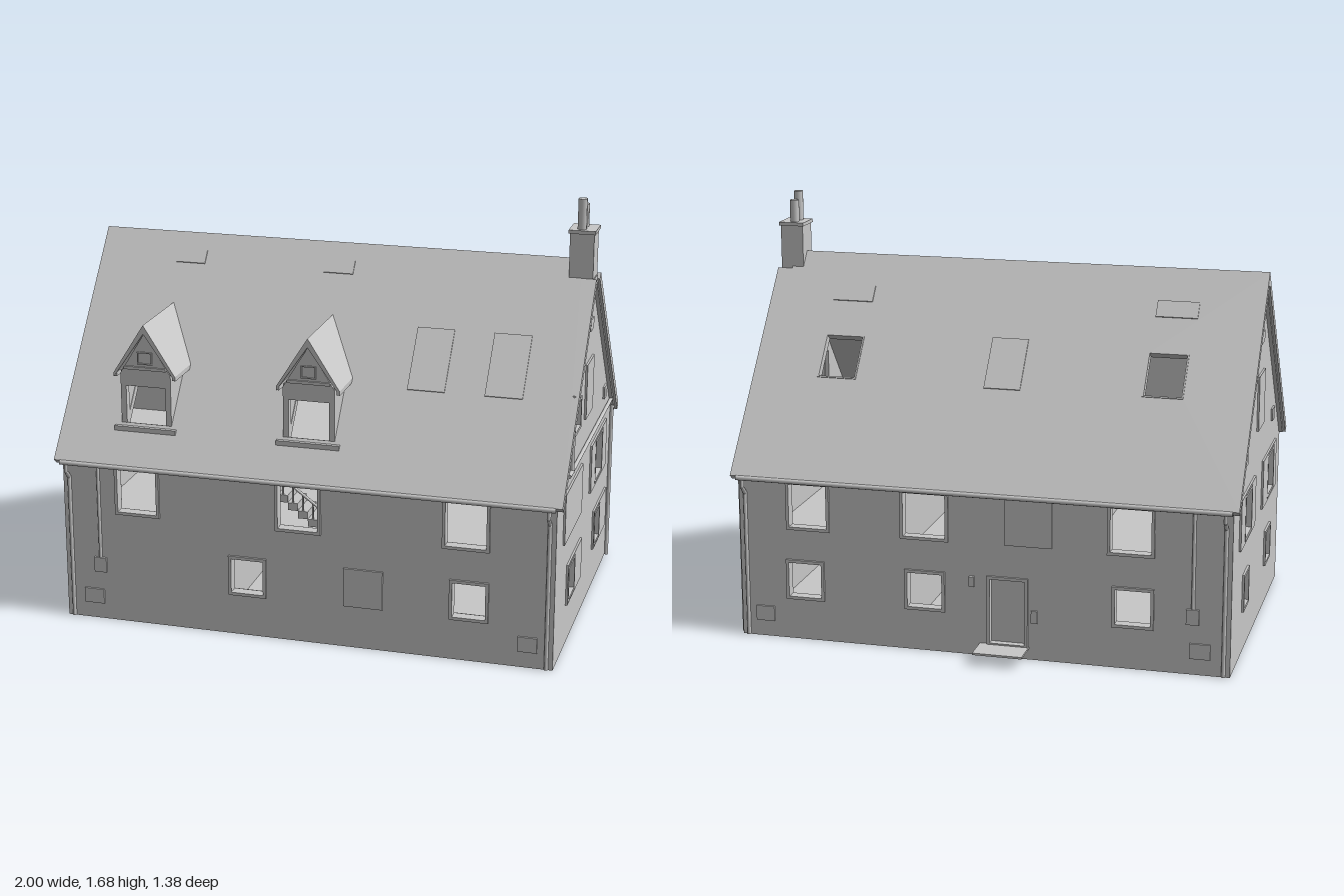
import * as THREE from 'three';

const plaster = new THREE.MeshStandardMaterial({ color: 0xc8c8c8 });
plaster.name = 'plain grey';

const EAVE = 0.66, RIDGE = 1.44, RIDGE_Z = 0.035, RUN = 0.645;
const RISE = RIDGE - EAVE, SLOPE = Math.hypot(RUN, RISE);
const roofZ = y => RIDGE_Z + (RIDGE - y) * RUN / RISE; // front slope depth at a height

function add(parent, name, geo, x = 0, y = 0, z = 0) {
  const m = new THREE.Mesh(geo, plaster);
  m.name = name;
  m.position.set(x, y, z);
  parent.add(m);
  return m;
}
// box given by its limits
function box(parent, name, x0, x1, y0, y1, z0, z1) {
  return add(parent, name, new THREE.BoxGeometry(x1 - x0, y1 - y0, z1 - z0),
    (x0 + x1) / 2, (y0 + y1) / 2, (z0 + z1) / 2);
}
const rect = ([a, b, c, d]) => [[a, c], [b, c], [b, d], [a, d]];
const vecs = pts => pts.map(p => new THREE.Vector2(...p));
// extruded outline with rectangular holes, from z0 to z1
function plate(outline, holes, z0, z1) {
  const s = new THREE.Shape(vecs(outline));
  holes.forEach(h => s.holes.push(new THREE.Path(vecs(rect(h)))));
  return new THREE.ExtrudeGeometry(s, { depth: z1 - z0, bevelEnabled: false }).translate(0, 0, z0);
}
// ring straddling the edge of an opening
function frame(parent, name, [a, b, c, d], z0, z1, out = 0.006, w = 0.006) {
  add(parent, name, plate(rect([a - out, b + out, c - out, d + out]), [[a + w, b - w, c + w, d - w]], z0, z1));
}
// run of straight round pipe pieces
function pipe(parent, name, pts, r = 0.008) {
  for (let i = 1; i < pts.length; i++) {
    const a = new THREE.Vector3(...pts[i - 1]), b = new THREE.Vector3(...pts[i]);
    const m = add(parent, name, new THREE.CylinderGeometry(r, r, a.distanceTo(b) + r, 8));
    m.position.copy(a).lerp(b, 0.5);
    m.quaternion.setFromUnitVectors(new THREE.Vector3(0, 1, 0), b.sub(a).normalize());
  }
}
// one outer wall: u runs to the right as seen from outside
function wall(parent, name, rot, pos, halfSkirt, outline, windows, panels) {
  const g = new THREE.Group();
  g.name = name;
  g.rotation.y = rot;
  g.position.set(...pos);
  parent.add(g);
  add(g, name + 'Shell', plate(outline, windows, -0.05, 0));
  box(g, 'skirt', ...halfSkirt, 0, 0.032, -0.012, 0);
  windows.forEach(w => frame(g, 'windowFrame', w, -0.035, 0.009));
  panels.forEach(p => {
    const inside = windows.filter(w => w[0] > p[0] && w[1] < p[1] && w[2] > p[2] && w[3] < p[3]);
    add(g, 'wallPanel', plate(rect(p), inside, -0.002, 0.008));
  });
  return g;
}

// roof slope in its own plane: x across, y measured as height above the ground
function roofSlope(parent, name, back, holes, panels, vents) {
  const v = y => (y - EAVE) * SLOPE / RISE;
  const flat = ([a, b, c, d]) => [a, b, v(c), v(d)];
  const pivot = new THREE.Group();
  pivot.name = name;
  pivot.position.z = RIDGE_Z;
  pivot.rotation.y = back ? Math.PI : 0;
  const g = new THREE.Group();
  g.position.set(0, EAVE, RUN);
  g.rotation.x = -Math.atan2(RUN, RISE);
  pivot.add(g);
  parent.add(pivot);
  // notch at the chimney, and a mitred ridge
  const m = back ? -1 : 1, cut = v(1.375);
  const outline = [[-1, 0], [1, 0], [1, cut], [0.94, cut], [0.94, SLOPE], [-1, SLOPE]].map(([x, y]) => [m * x, y]);
  const slab = plate(outline, holes.map(flat), -0.03, 0);
  const p = slab.attributes.position;
  for (let i = 0; i < p.count; i++)
    if (p.getY(i) > SLOPE - 0.001 && p.getZ(i) < -0.02) p.setY(i, SLOPE - 0.03 * RISE / RUN);
  slab.computeVertexNormals();
  add(g, 'roofSlab', slab);
  panels.forEach(q => add(g, 'roofPanel', plate(rect(flat(q)), [], -0.001, 0.005)));
  vents.forEach(q => add(g, 'roofVent', plate(rect(flat(q)), [], -0.001, 0.005)));
  if (back) holes.forEach(h => frame(g, 'skylightFrame', flat(h), -0.03, 0.004, 0.002, 0.004));
}

function dormer(parent, cx) {
  const g = new THREE.Group();
  g.name = 'dormer';
  g.position.x = cx;
  parent.add(g);
  const win = [-0.08, 0.08, 0.79, 0.95];
  add(g, 'dormerFront', plate([[-0.102, 0.77], [0.102, 0.77], [0.102, 1.0], [0, 1.165], [-0.102, 1.0]], [win], 0.535, 0.565));
  frame(g, 'gableVent', [-0.03, 0.03, 1.04, 1.09], 0.555, 0.57, 0, 0.005);
  box(g, 'dormerSill', -0.125, 0.125, 0.768, 0.79, 0.54, 0.588);
  box(g, 'gableTie', -0.085, 0.085, 1.018, 1.03, 0.555, 0.572);
  for (const s of [-1, 1]) {
    // cheek wall running back into the roof
    const cheek = plate([[-0.56, 0.77], [-0.38, 1.01], [-0.56, 1.01]], [], -0.01, 0.01);
    add(g, 'dormerCheek', cheek.rotateY(Math.PI / 2), s * 0.092);
    const xs = [s * 0.113, s * 0.125].sort((a, b) => a - b);
    box(g, 'dormerFascia', ...xs, 0.987, 1.002, 0.4, 0.575);
    // roof leaf, its rear end cut to the main slope
    const pts = [[0, 1.2], [0, 1.165], [s * 0.125, 0.985], [s * 0.125, 1.003]];
    const leaf = plate(pts, [], 0, 0.577);
    const p = leaf.attributes.position;
    for (let i = 0; i < p.count; i++) if (p.getZ(i) < 0.1) p.setZ(i, roofZ(p.getY(i)) - 0.012);
    leaf.computeVertexNormals();
    add(g, 'dormerRoof', leaf);
  }
}

export function createModel() {
  const house = new THREE.Group();
  house.name = 'house';
  const UP = [0.455, 0.64], LOW = [0.17, 0.32], FOOT = [0.065, 0.125];

  // long walls
  const long = rect([-0.925, 0.925, 0.03, 0.65]), longSkirt = [-0.963, 0.963];
  wall(house, 'frontWall', 0, [0, 0, 0.65], longSkirt, long,
    [[-0.755, -0.585, ...UP], [-0.105, 0.065, ...UP], [0.55, 0.72, ...UP], [-0.295, -0.155, ...LOW], [0.58, 0.72, ...LOW]],
    [[0.16, 0.315, 0.17, 0.325], [-0.9, -0.82, ...FOOT], [0.84, 0.915, ...FOOT]]);
  const back = wall(house, 'backWall', Math.PI, [0, 0, -0.58], longSkirt, long,
    [[-0.775, -0.61, ...UP], [-0.31, -0.13, ...UP], [0.505, 0.675, ...UP],
      [-0.78, -0.635, ...LOW], [-0.295, -0.145, ...LOW], [0.525, 0.675, ...LOW], [0.035, 0.185, 0.05, 0.32]],
    [[0.1, 0.285, ...UP], [-0.915, -0.84, ...FOOT], [0.82, 0.9, ...FOOT]]);
  box(back, 'door', 0.035, 0.185, 0.05, 0.315, -0.035, -0.02);
  box(back, 'doorStep', 0, 0.195, 0.042, 0.05, -0.01, 0.115);
  box(back, 'doorLamp', -0.04, -0.02, 0.28, 0.32, 0, 0.015);
  box(back, 'letterBox', 0.205, 0.23, 0.15, 0.2, 0, 0.01);

  // gable walls; u is -z on the +x side and z on the other
  const gable = m => [[-0.65, 0.03], [0.58, 0.03], [0.58, 0.65], [-0.018, 1.372], [-0.052, 1.372], [-0.65, 0.65]]
    .map(([u, y]) => [m * u, y]);
  wall(house, 'leftGable', Math.PI / 2, [0.975, 0, 0], [-0.65, 0.58], gable(1),
    [[0.165, 0.325, 0.465, 0.635], [-0.395, -0.265, 0.178, 0.315], [0.195, 0.315, 0.178, 0.315], [-0.355, -0.235, 0.835, 0.95]],
    [[-0.51, -0.14, 0.45, 0.65], [0.065, 0.43, 0.45, 0.65], [-0.41, -0.11, 0.165, 0.33], [0.18, 0.48, 0.165, 0.33],
      [-0.115, 0.04, 0.82, 1.04], [-0.48, -0.42, 0.76, 0.81], [0.34, 0.4, 0.76, 0.81], [-0.07, 0, 1.16, 1.205]]);
  wall(house, 'rightGable', -Math.PI / 2, [-0.975, 0, 0], [-0.58, 0.65], gable(-1),
    [[-0.325, -0.165, 0.465, 0.635], [0.275, 0.435, 0.465, 0.635], [-0.315, -0.195, 0.178, 0.315], [0.265, 0.395, 0.178, 0.315]],
    [[-0.43, -0.065, 0.45, 0.65], [0.14, 0.51, 0.45, 0.65], [-0.04, 0.115, 0.82, 1.04],
      [-0.36, -0.3, 0.76, 0.81], [0.37, 0.43, 0.76, 0.81], [0, 0.07, 1.16, 1.205]]);

  // roof with verge boards under both ends
  roofSlope(house, 'frontRoof', false,
    [[-0.735, -0.575, 0.8, 0.98], [-0.08, 0.08, 0.8, 0.98]],
    [[0.345, 0.49, 0.98, 1.18], [0.645, 0.79, 0.98, 1.18]],
    [[-0.68, -0.56, 1.335, 1.38], [-0.07, 0.05, 1.335, 1.38]]);
  roofSlope(house, 'backRoof', true,
    [[0.575, 0.73, 1.005, 1.15], [-0.73, -0.575, 1.005, 1.15]],
    [[-0.05, 0.095, 1.0, 1.17]],
    [[0.58, 0.745, 1.27, 1.325], [-0.735, -0.57, 1.27, 1.325]]);
  const verge = [[-0.65, 0.66], [-0.06, 1.373], [-0.01, 1.373], [0.58, 0.66], [0.565, 0.645],
    [-0.008, 1.343], [-0.062, 1.343], [-0.635, 0.645]];
  for (const x of [0.972, -0.99])
    add(house, 'vergeBoard', plate(verge, [], 0, 0.018).rotateY(Math.PI / 2), x);
  dormer(house, -0.655);
  dormer(house, 0);

  // chimney with two pots
  box(house, 'chimneyStack', 0.893, 0.986, 1.34, 1.555, -0.013, 0.088);
  box(house, 'chimneyCap', 0.888, 0.992, 1.548, 1.562, -0.02, 0.095);
  for (const [z, top] of [[0.063, 1.68], [0.014, 1.65]])
    add(house, 'chimneyPot', new THREE.CylinderGeometry(0.019, 0.019, top - 1.55, 6), 0.935, (top + 1.55) / 2, z);

  // gutters and downpipes
  for (const [wz, s] of [[0.65, 1], [-0.58, -1]]) {
    const gz = wz + s * 0.03, pz = wz + s * 0.002;
    pipe(house, 'gutter', [[-0.97, 0.652, gz], [0.97, 0.652, gz]], 0.01);
    for (const x of [-0.95, 0.95])
      pipe(house, 'downpipe', [[x, 0.645, gz], [x, 0.615, gz], [x, 0.585, pz], [x, 0.005, pz]]);
    pipe(house, 'shortPipe', [[-0.83, 0.64, pz], [-0.83, 0.25, pz]], 0.007);
    const zs = [wz, wz + s * 0.01].sort((a, b) => a - b);
    box(house, 'meterBox', -0.855, -0.805, 0.2, 0.26, ...zs);
  }
  pipe(house, 'sidePipe', [[0.982, 1.0, 0.392], [0.982, 0.705, 0.392], [0.982, 0.705, -0.55], [0.982, 0.005, -0.55]]);
  pipe(house, 'sidePipeBranch', [[0.982, 0.705, 0.392], [0.982, 0.705, 0.45]]);

  // floors and partitions
  box(house, 'groundFloor', -0.96, 0.96, 0.03, 0.045, -0.567, 0.637);
  box(house, 'firstFloor', -0.925, 0.925, 0.355, 0.375, -0.53, 0.6);
  box(house, 'atticFloor', -0.925, 0.925, 0.655, 0.675, -0.55, 0.62);
  for (const x of [-0.35, 0.33])
    box(house, 'partition', x - 0.015, x + 0.015, 0.045, 0.655, -0.53, 0.6);
  box(house, 'atticPartition', -0.925, -0.35, 0.675, 1.36, 0.02, 0.045);

  // staircase with banister
  for (let i = 0; i < 9; i++) {
    const x = 0.1 - i * 0.04, y = 0.375 + i * 0.03;
    box(house, 'stairTread', x - 0.04, x, y - 0.01, y + 0.02, 0.4, 0.52);
    box(house, 'baluster', x - 0.023, x - 0.017, y + 0.02, y + 0.09, 0.515, 0.521);
  }
  pipe(house, 'handrail', [[0.1, 0.45, 0.518], [-0.17, 0.652, 0.518]], 0.006);
  return house;
}
